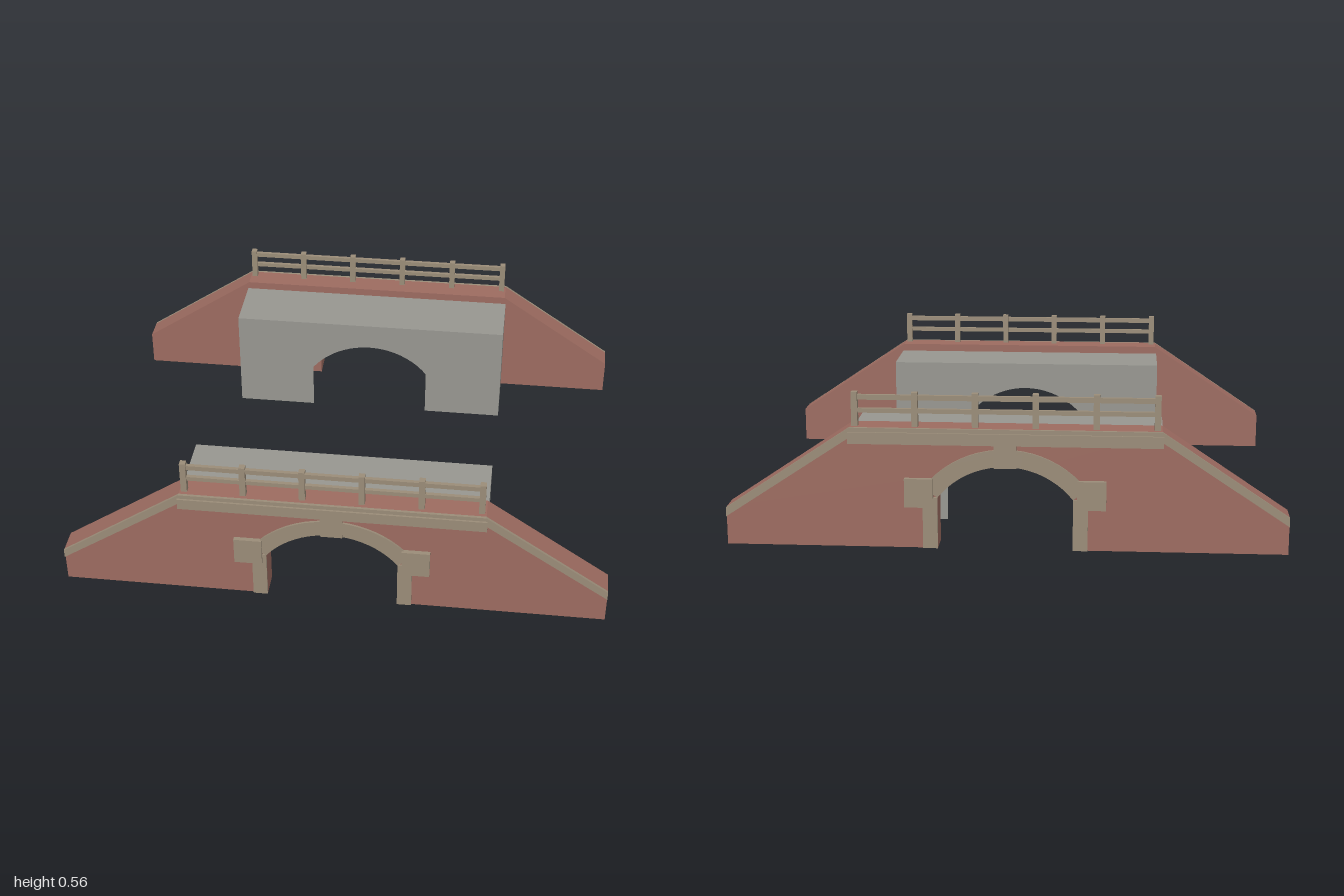
import * as THREE from 'three';

const material = (name, color, side = THREE.FrontSide) => {
  const m = new THREE.MeshStandardMaterial({ color, side });
  m.name = name;
  return m;
};

const HALF_SPAN = 0.555;   // half length of the level deck
const JAMB = 0.24;         // half width of the opening
const INNER_R = 0.305;     // arch radii, centred on the ground line
const OUTER_R = 0.367;
const WALL_BACK = 0.69;
const WALL_FRONT = 0.78;
const SPRING = Math.acos(JAMB / INNER_R);

// Closed outline from points
const outline = (points) => new THREE.Shape(points.map(([x, y]) => new THREE.Vector2(x, y)));

// Points along the underside of the arch, from +x to -x
function archPoints(radius, start, steps = 20) {
  return Array.from({ length: steps + 1 }, (_, i) => {
    const a = start + (Math.PI - 2 * start) * i / steps;
    return [radius * Math.cos(a), radius * Math.sin(a)];
  });
}

// Ground line interrupted by the arched opening, from +x to -x
const openingPoints = () => [[JAMB, 0], ...archPoints(INNER_R, SPRING), [-JAMB, 0]];

function createPortal(mats) {
  const portal = new THREE.Group();

  const add = (name, geometry, mat, x = 0, y = 0, z = 0) => {
    const mesh = new THREE.Mesh(geometry, mat);
    mesh.name = name;
    mesh.position.set(x, y, z);
    portal.add(mesh);
    return mesh;
  };
  const slab = (name, shape, z0, z1, mat) =>
    add(name, new THREE.ExtrudeGeometry(shape, { depth: z1 - z0, bevelEnabled: false }), mat, 0, 0, z0);
  const box = (name, x0, x1, y0, y1, z0, z1, mat) =>
    add(name, new THREE.BoxGeometry(x1 - x0, y1 - y0, z1 - z0), mat,
      (x0 + x1) / 2, (y0 + y1) / 2, (z0 + z1) / 2);

  // Brick wall with sloping wings and arched opening
  slab('brickWall', outline([
    [1, 0], [1, 0.138], [0.55, 0.44], [-0.55, 0.44], [-1, 0.138], [-1, 0],
    ...openingPoints().reverse(),
  ]), WALL_BACK, WALL_FRONT, mats.brick);

  // Coping band following the top edge
  slab('copingBand', outline([
    [1, 0.105], [1, 0.138], [0.55, 0.44], [-0.55, 0.44], [-1, 0.138], [-1, 0.105],
    [-0.54, 0.41], [0.54, 0.41],
  ]), WALL_FRONT, 0.79, mats.stone);

  // Ledge under the parapet
  box('ledge', -HALF_SPAN, HALF_SPAN, 0.383, 0.425, WALL_FRONT, 0.797, mats.stone);

  // Arch ring and keystone
  slab('archRing', outline([
    ...archPoints(INNER_R, SPRING),
    ...archPoints(OUTER_R, SPRING).reverse(),
  ]), WALL_FRONT, 0.788, mats.stone);
  box('keystone', -0.04, 0.04, 0.3, 0.384, WALL_FRONT, 0.792, mats.stone);

  // Jamb strips and impost blocks
  for (const s of [-1, 1]) {
    const side = s > 0 ? 'left' : 'right';
    const spanX = (a, b) => (s > 0 ? [a, b] : [-b, -a]);
    box(`${side}JambStrip`, ...spanX(JAMB, 0.293), 0, 0.188, WALL_FRONT, 0.787, mats.stone);
    box(`${side}ImpostBlock`, ...spanX(0.255, 0.357), 0.153, 0.258, WALL_FRONT, 0.797, mats.stone);
  }

  // Railing
  for (let i = 0; i < 6; i++) {
    const x = -0.533 + i * 0.2132;
    box('railingPost', x - 0.011, x + 0.011, 0.44, 0.563, 0.743, 0.767, mats.stone);
  }
  box('topRail', -0.533, 0.533, 0.535, 0.553, 0.748, 0.762, mats.stone);
  box('middleRail', -0.533, 0.533, 0.488, 0.504, 0.748, 0.762, mats.stone);

  // Hollow concrete shell behind the wall, open underneath
  const top = 0.41, inner = 0.445, depth = WALL_BACK - inner, midZ = (WALL_BACK + inner) / 2;
  const face = new THREE.ShapeGeometry(outline([
    [HALF_SPAN, 0], [HALF_SPAN, top], [-HALF_SPAN, top], [-HALF_SPAN, 0],
    ...openingPoints().reverse(),
  ]));
  add('shellFace', face.rotateY(Math.PI), mats.concrete, 0, 0, inner);
  add('shellTop', new THREE.PlaneGeometry(2 * HALF_SPAN, depth).rotateX(-Math.PI / 2),
    mats.concrete, 0, top, midZ);
  for (const s of [-1, 1]) {
    add('shellEnd', new THREE.PlaneGeometry(depth, top).rotateY(s * Math.PI / 2),
      mats.concrete, s * HALF_SPAN, top / 2, midZ);
  }
  return portal;
}

export function createModel() {
  const mats = {
    brick: material('brick', 0x9c6b60),
    stone: material('stone', 0x9a8c78),
    concrete: material('concrete', 0x979690, THREE.DoubleSide),
  };
  const model = new THREE.Group();
  model.name = 'bridgePortals';

  // Two identical portals facing outwards
  const front = createPortal(mats);
  front.name = 'frontPortal';
  const back = createPortal(mats);
  back.name = 'backPortal';
  back.rotation.y = Math.PI;
  model.add(front, back);
  return model;
}
